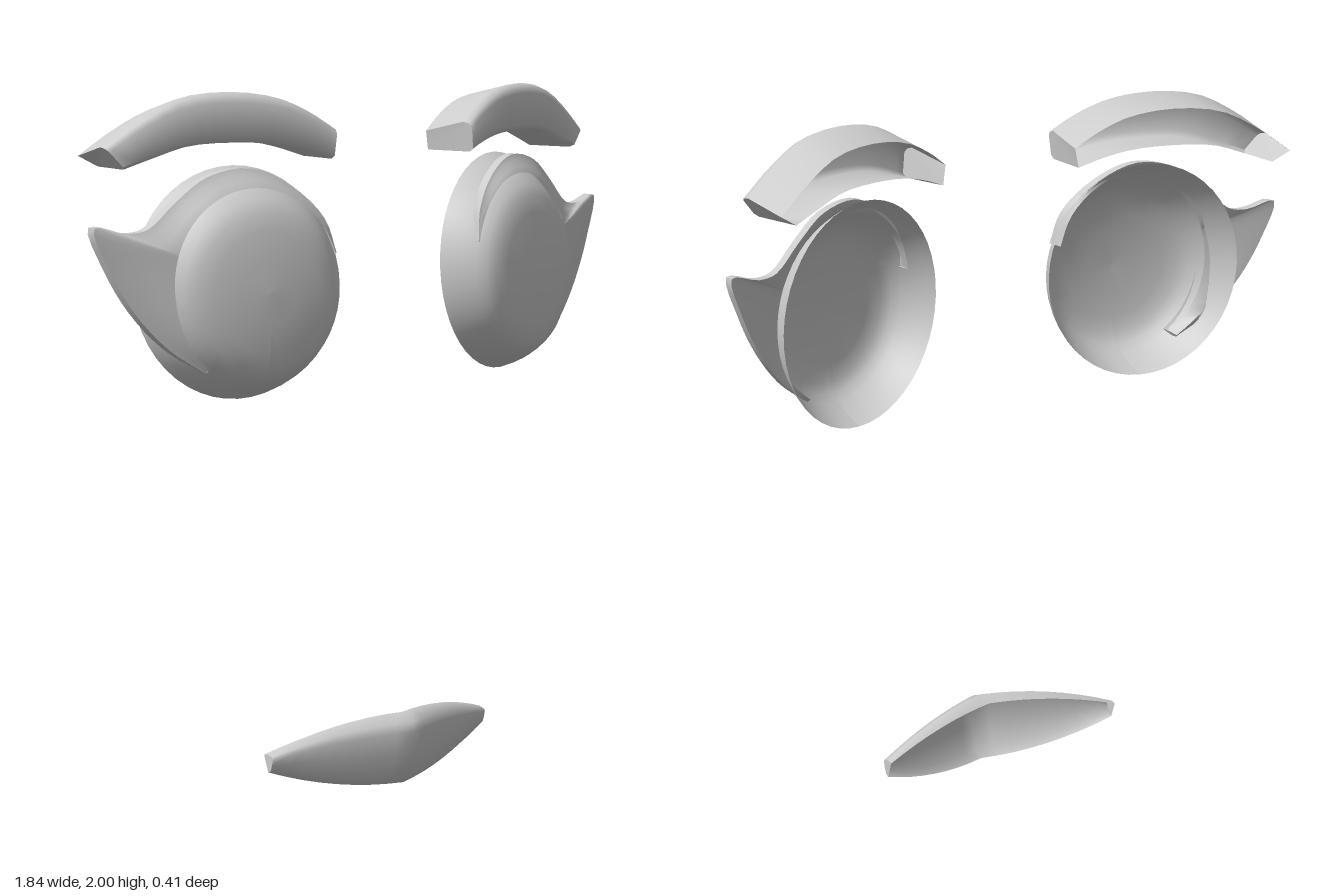
import * as THREE from 'three';
import { toCreasedNormals } from 'three/addons/utils/BufferGeometryUtils.js';

const material = new THREE.MeshStandardMaterial({ color: 0xcccccc, side: THREE.DoubleSide });
const TURN = 0.253, PITCH = 0.05, CX = 0.485, CY = 1.48;

// Shell through equal-sized rows of [x, y, z], capped at both ends, open behind
function loft(sections, crease, side = 1) {
  const n = sections[0].length, end = (sections.length - 1) * n;
  const idx = [];
  for (let i = 0; i < end; i += n) {
    for (let a = i; a < i + n - 1; a++) {
      idx.push(a, a + n + 1, a + 1, a, a + n, a + n + 1);
    }
  }
  for (let j = 1; j < n - 1; j++) {
    idx.push(0, j, j + 1, end, end + j + 1, end + j);
  }
  if (side < 0) idx.reverse();
  const g = new THREE.BufferGeometry();
  g.setAttribute('position', new THREE.Float32BufferAttribute(sections.flat(2), 3));
  g.setIndex(idx);
  return toCreasedNormals(g, crease);
}

function part(name, geometry) {
  const mesh = new THREE.Mesh(geometry, material);
  mesh.name = name;
  return mesh;
}

// Smooth curve through a few rows of numbers
const curve = (rows) => new THREE.CatmullRomCurve3(
  rows.map((r) => new THREE.Vector3(...r)), false, 'centripetal');

// Shallow eye bowl, open at the back and turned outwards
function eyeball(side) {
  const profile = [[0.32, 0], [0.307, 0.03], [0.287, 0.068], [0.264, 0.102], [0.242, 0.128],
    [0.212, 0.147], [0.165, 0.159], [0.09, 0.167], [0.0001, 0.17]];
  const g = new THREE.LatheGeometry(profile.map(([r, w]) => new THREE.Vector2(r, w)), 48);
  g.rotateX(Math.PI / 2);
  g.scale(0.935, 1, 1);
  const pos = g.attributes.position;
  for (let i = 0; i < pos.count; i++) {
    pos.setX(i, pos.getX(i) - side * 0.2 * pos.getZ(i));
    pos.setY(i, pos.getY(i) - 0.13 * pos.getZ(i));
  }
  g.rotateX(-PITCH);
  g.rotateY(side * TURN);
  g.translate(side * CX, CY, 0);
  g.computeVertexNormals();
  return part('eyeball', g);
}

// Upper lid that sweeps over the bowl and runs out into a pointed lash wing
function eyelid(side) {
  // outer edge: x, y, height above the tilted rim plane
  const edge = curve([[0.262, 1.56, 0.112], [0.287, 1.655, 0.102], [0.37, 1.745, 0.088],
    [0.48, 1.795, 0.08], [0.6, 1.775, 0.078], [0.69, 1.71, 0.075], [0.77, 1.64, 0.075],
    [0.83, 1.632, 0.078], [0.92, 1.65, 0.085], [0.885, 1.54, 0.083], [0.82, 1.42, 0.083],
    [0.735, 1.32, 0.088], [0.64, 1.25, 0.098]]);
  const sections = [];
  for (let i = 0; i <= 48; i++) {
    const e = edge.getPoint(i / 48);
    const ux = (e.x - 0.49) / 0.285, uy = (e.y - CY) / 0.32;
    const len = Math.hypot(ux, uy);
    const ring = (s) => [0.49 + 0.285 * s * ux / len, CY + 0.32 * s * uy / len];
    const inner = ring(0.825);
    const mix = (t) => [inner[0] + (e.x - inner[0]) * t, inner[1] + (e.y - inner[1]) * t];
    const at = ([x, y], w) => [
      side * x, y, w - (x - CX) * Math.tan(TURN) - (y - CY) * PITCH];
    sections.push([
      at(inner, 0.114),
      at(mix(0.35), 0.114 + (e.z - 0.114) * 0.3),
      at(mix(0.7), 0.114 + (e.z - 0.114) * 0.8),
      at([e.x, e.y], e.z),
      at([e.x, e.y], e.z - 0.03),
      at(mix(0.6), 0.058),
      at(ring(0.84), 0.085),
    ]);
  }
  return part('eyelid', loft(sections, 0.9, side));
}

// Thick arched brow with softened front edges
function eyebrow(side) {
  const upper = curve([[0.237, 1.9, 0], [0.3, 1.942, 0], [0.39, 1.982, 0], [0.52, 2, 0],
    [0.66, 1.985, 0], [0.77, 1.93, 0], [0.868, 1.86, 0]]);
  const lower = curve([[0.247, 1.815, 0], [0.32, 1.84, 0], [0.4, 1.858, 0], [0.52, 1.865, 0],
    [0.64, 1.858, 0], [0.73, 1.83, 0], [0.815, 1.8, 0]]);
  const sections = [];
  for (let i = 0; i <= 16; i++) {
    const t = upper.getPoint(i / 16), b = lower.getPoint(i / 16);
    const at = (f, dz, dy = 0) => {
      const x = b.x + (t.x - b.x) * f;
      return [side * (x + dz * 0.15 + 0.008), b.y + (t.y - b.y) * f + dy,
        0.15 - (x - 0.24) * 0.31 + dz];
    };
    sections.push([at(0, -0.168), at(0, -0.015), at(0.12, 0), at(0.8, 0), at(0.94, -0.01),
      at(1, -0.03), at(1, -0.168, -0.03)]);
  }
  return part('eyebrow', loft(sections, 0.95, side));
}

// Lens-shaped mouth bent back at both sides
function mouth() {
  const sections = [];
  for (let i = 0; i <= 16; i++) {
    const x = -0.405 + 0.81 * i / 16;
    const t = Math.abs(x) / 0.405;
    const s = 1 - 0.75 * t ** 2;
    const back = 0.1 - 0.09 * t, front = 0.197 - 0.147 * t;
    const at = (f, y) => [x, 0.108 + y * s, back + (front - back) * f];
    sections.push([at(0.45, -0.108), at(0.75, -0.085), at(0.92, -0.01), at(1, 0.055),
      at(0.9, 0.082), at(0.4, 0.102), at(0, 0.085)]);
  }
  return part('mouth', loft(sections, 1.1));
}

export function createModel() {
  const model = new THREE.Group();
  model.name = 'face';
  for (const side of [1, -1]) {
    const eye = new THREE.Group();
    eye.name = side > 0 ? 'leftEye' : 'rightEye';
    eye.add(eyeball(side), eyelid(side), eyebrow(side));
    model.add(eye);
  }
  model.add(mouth());
  return model;
}
